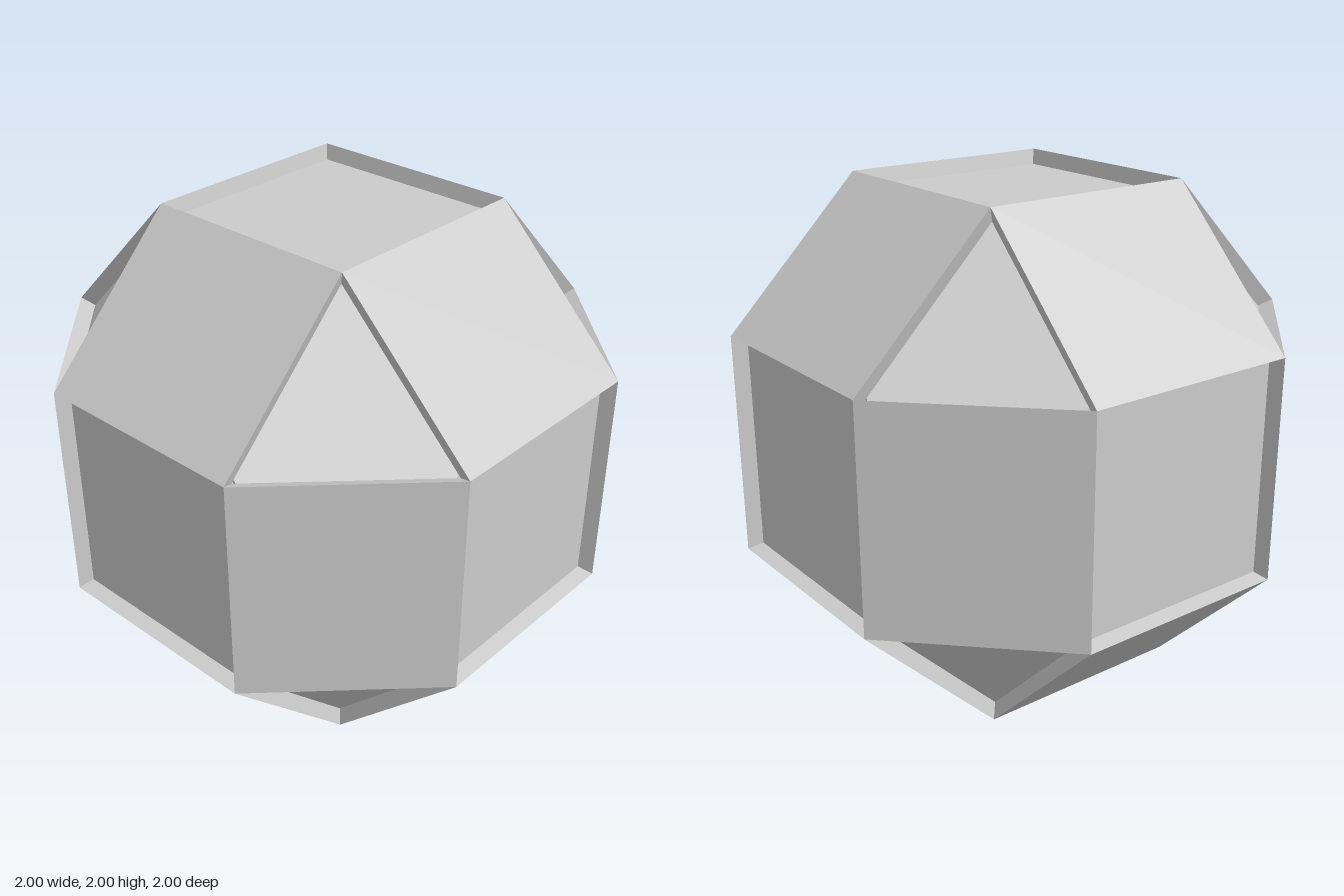
import * as THREE from 'three';

const R = 1;          // distance from centre to the square faces
const S = 0.442;      // half width of the square faces
const DEPTH = 0.061;  // how far the recessed floors sink
const INSET = 0.013;  // slope of the recess walls

const material = new THREE.MeshStandardMaterial({ color: 0xcccccc, flatShading: true });

// Vector whose components are given starting from a chosen axis (0 = x, 1 = y, 2 = z)
function onAxis(axis, a, b, c) {
  const v = [0, 0, 0];
  v[axis] = a;
  v[(axis + 1) % 3] = b;
  v[(axis + 2) % 3] = c;
  return new THREE.Vector3(...v);
}

// Mesh from flat convex polygons, each a loop of corners
function polygonMesh(name, polygons) {
  const points = [];
  for (const p of polygons) {
    for (let i = 1; i < p.length - 1; i++) points.push(p[0], p[i], p[i + 1]);
  }
  const geometry = new THREE.BufferGeometry().setFromPoints(points);
  geometry.computeVertexNormals();
  const mesh = new THREE.Mesh(geometry, material);
  mesh.name = name;
  return mesh;
}

const centreOf = (corners) =>
  corners.reduce((sum, c) => sum.add(c), new THREE.Vector3()).divideScalar(corners.length);

// Order the corners so that the polygon faces away from the origin
function facingOut(corners) {
  const u = corners[1].clone().sub(corners[0]);
  const v = corners[2].clone().sub(corners[0]);
  return u.cross(v).dot(centreOf(corners)) < 0 ? corners.slice().reverse() : corners;
}

// Sunken panel: a floor pushed inward, joined to the rim by sloped walls
function recessedPanel(name, corners) {
  const rim = facingOut(corners);
  const centre = centreOf(rim);
  const normal = centre.clone().normalize();
  const inradius = rim[0].clone().add(rim[1]).multiplyScalar(0.5).distanceTo(centre);
  const floor = rim.map((c) =>
    c.clone().lerp(centre, INSET / inradius).addScaledVector(normal, -DEPTH));
  const walls = rim.map((c, i) => {
    const j = (i + 1) % rim.length;
    return [c, rim[j], floor[j], floor[i]];
  });
  const panel = new THREE.Group();
  panel.name = name;
  panel.add(polygonMesh('floor', [floor]), polygonMesh('walls', walls));
  return panel;
}

export function createModel() {
  const solid = new THREE.Group();
  solid.name = 'facetedSolid';
  const signs = [-1, 1];

  for (let axis = 0; axis < 3; axis++) {
    for (const s of signs) {
      // Recessed squares on the six axis directions
      solid.add(recessedPanel('squarePanel', [
        onAxis(axis, s * R, -S, -S), onAxis(axis, s * R, S, -S),
        onAxis(axis, s * R, S, S), onAxis(axis, s * R, -S, S),
      ]));
      // Flush bevels between neighbouring squares
      for (const t of signs) {
        solid.add(polygonMesh('bevelPanel', [facingOut([
          onAxis(axis, s * R, t * S, -S), onAxis(axis, s * S, t * R, -S),
          onAxis(axis, s * S, t * R, S), onAxis(axis, s * R, t * S, S),
        ])]));
      }
    }
  }

  // Recessed triangles on the eight corners
  for (const x of signs) for (const y of signs) for (const z of signs) {
    solid.add(recessedPanel('trianglePanel', [
      new THREE.Vector3(x * R, y * S, z * S),
      new THREE.Vector3(x * S, y * R, z * S),
      new THREE.Vector3(x * S, y * S, z * R),
    ]));
  }

  // Stand the solid on the ground
  solid.position.y = R;
  const model = new THREE.Group();
  model.name = 'model';
  model.add(solid);
  return model;
}
